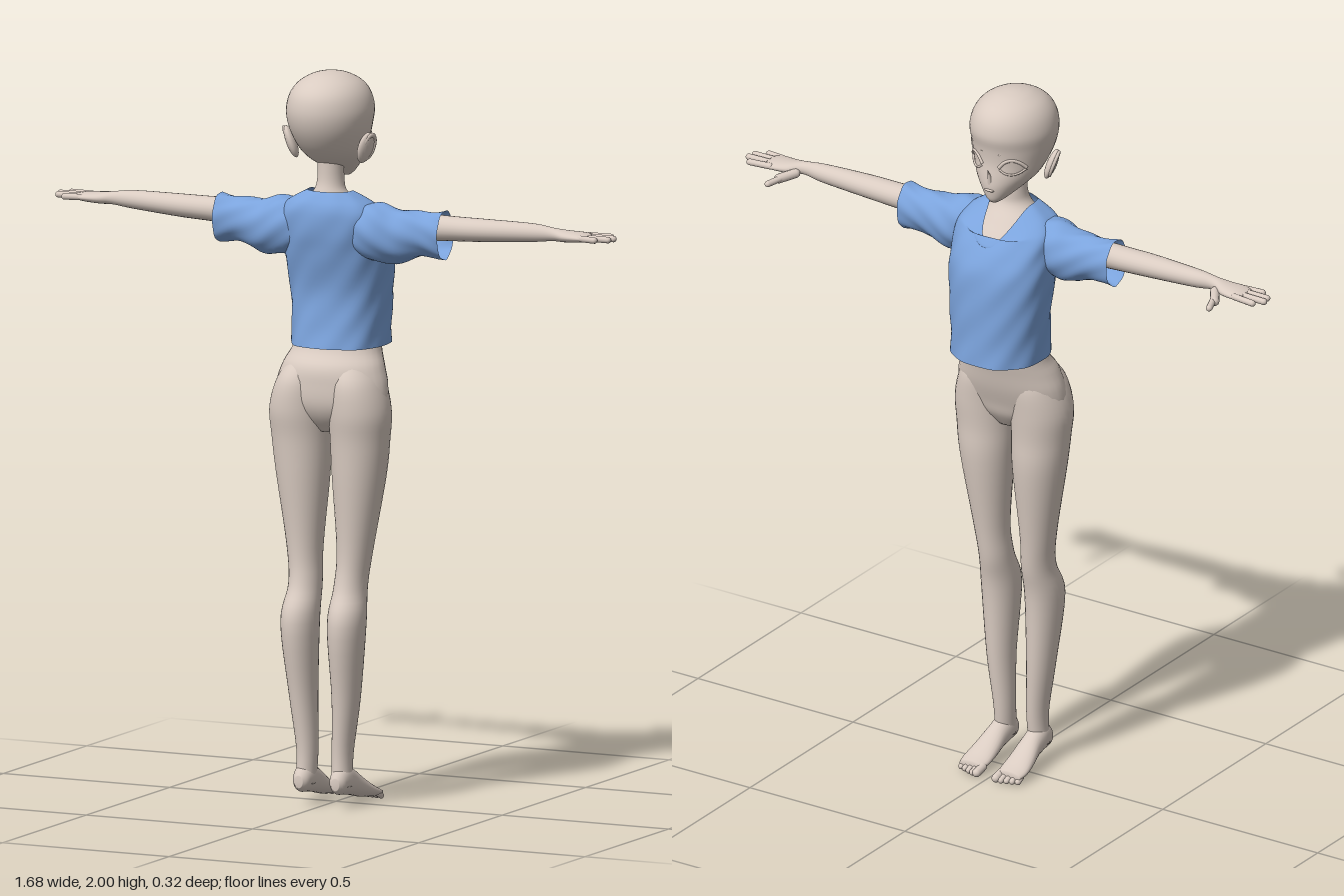
import * as THREE from 'three';

const skin = new THREE.MeshStandardMaterial({ color: 0xd9cbc1 });
skin.name = 'skin';
const cloth = new THREE.MeshStandardMaterial({ color: 0x7ba3dc, side: THREE.DoubleSide });
cloth.name = 'blue cloth';

// Catmull-Rom blend of the section rows
function sampleRows(rows, s) {
  const i = Math.min(Math.floor(s), rows.length - 2), f = s - i;
  const at = k => rows[Math.max(0, Math.min(rows.length - 1, k))];
  return rows[0].map((_, c) => {
    const p0 = at(i - 1)[c], p1 = at(i)[c], p2 = at(i + 1)[c], p3 = at(i + 2)[c];
    return p1 + 0.5 * f * (p2 - p0 + f * (2 * p0 - 5 * p1 + 4 * p2 - p3 + f * (3 * (p1 - p2) + p3 - p0)));
  });
}

// Smooth loft along an axis; rows are [position, centreA, centreB, radiusA, radiusB]
// with (A, B) = (x, z) along y, (z, y) along x, (y, x) along z
function loft(axis, rows, { sides = 32, steps = 5, caps = true, power = 1, bend = null } = {}) {
  const pos = [], idx = [], n = (rows.length - 1) * steps;
  const put = (t, a, b) => pos.push(...(axis === 'y' ? [a, t, b] : axis === 'x' ? [t, b, a] : [b, a, t]));
  const round = v => Math.sign(v) * Math.abs(v) ** power;
  for (let i = 0; i <= n; i++) {
    const [t, ca, cb, ra, rb] = sampleRows(rows, i / steps);
    for (let j = 0; j < sides; j++) {
      const q = (j / sides) * Math.PI * 2;
      let p = [t, ca + ra * round(Math.cos(q)), cb + rb * round(Math.sin(q))];
      if (bend) p = bend(p, q, ca, cb);
      put(...p);
      if (i < n) {
        const k = i * sides + j, m = i * sides + (j + 1) % sides;
        idx.push(k, k + sides, m, m, k + sides, m + sides);
      }
    }
  }
  if (caps) {
    const first = rows[0], last = rows[rows.length - 1], c = pos.length / 3;
    put(first[0], first[1], first[2]);
    put(last[0], last[1], last[2]);
    for (let j = 0; j < sides; j++) {
      const m = (j + 1) % sides;
      idx.push(c, j, m, c + 1, n * sides + m, n * sides + j);
    }
  }
  const g = new THREE.BufferGeometry();
  g.setAttribute('position', new THREE.Float32BufferAttribute(pos, 3));
  g.setIndex(idx);
  g.computeVertexNormals();
  return g;
}

// Rounded rod between two points
function rod(a, b, r) {
  const A = new THREE.Vector3(...a), B = new THREE.Vector3(...b), d = B.clone().sub(A);
  const g = new THREE.CapsuleGeometry(r, Math.max(0.001, d.length() - 2 * r), 6, 12);
  g.applyQuaternion(new THREE.Quaternion().setFromUnitVectors(new THREE.Vector3(0, 1, 0), d.normalize()));
  return g.translate(...A.add(B).multiplyScalar(0.5).toArray());
}

function mirrored(g) {
  const m = g.clone().scale(-1, 1, 1), ix = m.index.array;
  for (let i = 0; i < ix.length; i += 3) [ix[i + 1], ix[i + 2]] = [ix[i + 2], ix[i + 1]];
  return m;
}

export function createModel() {
  const model = new THREE.Group();
  model.name = 'mannequin';
  const add = (name, g, mat = skin) => {
    const mesh = new THREE.Mesh(g, mat);
    mesh.name = name;
    model.add(mesh);
  };
  // The figure faces -z, so its left side is -x
  const pair = (name, g, mat) => {
    add('right' + name, g, mat);
    add('left' + name, mirrored(g), mat);
  };

  // Plain doll torso and neck
  add('torso', loft('y', [
    [1.02, 0, 0.025, 0.05, 0.04], [1.06, 0, 0.027, 0.12, 0.07], [1.1, 0, 0.028, 0.16, 0.085],
    [1.15, 0, 0.02, 0.161, 0.095], [1.2, 0, 0.01, 0.145, 0.098], [1.26, 0, -0.015, 0.123, 0.086],
    [1.4, 0, -0.03, 0.115, 0.085], [1.5, 0, -0.025, 0.125, 0.096], [1.58, 0, 0.005, 0.125, 0.092],
    [1.63, 0, 0.025, 0.095, 0.07], [1.67, 0, 0.033, 0.048, 0.045], [1.71, 0, 0.03, 0.036, 0.038],
    [1.79, 0, 0.03, 0.036, 0.038]]));

  // Legs
  pair('Leg', loft('y', [
    [0.06, 0.055, 0.073, 0.027, 0.034], [0.15, 0.053, 0.065, 0.028, 0.036], [0.3, 0.064, 0.066, 0.037, 0.048],
    [0.5, 0.07, 0.075, 0.05, 0.065], [0.6, 0.068, 0.047, 0.044, 0.055], [0.7, 0.075, 0.035, 0.048, 0.056],
    [0.9, 0.084, 0.028, 0.073, 0.077], [1.0, 0.088, 0.03, 0.081, 0.082], [1.08, 0.089, 0.032, 0.084, 0.09],
    [1.16, 0.08, 0.027, 0.07, 0.088], [1.22, 0.065, 0.015, 0.045, 0.06]]));

  // Feet, heel raised slightly, with toes
  pair('Foot', loft('z', [
    [-0.09, 0.022, 0.061, 0.012, 0.036], [-0.06, 0.029, 0.061, 0.017, 0.041], [-0.02, 0.043, 0.059, 0.026, 0.038],
    [0.03, 0.066, 0.056, 0.037, 0.031], [0.07, 0.078, 0.055, 0.042, 0.029], [0.1, 0.073, 0.055, 0.033, 0.024],
    [0.116, 0.068, 0.055, 0.016, 0.012]], { sides: 24 }));
  for (let i = 0; i < 5; i++) {
    const x = 0.031 + i * 0.015, r = i ? 0.0085 : 0.012;
    pair('Toe' + (i + 1), rod([x, 0.024, -0.065], [x, r, -0.116 + i * 0.005], r));
  }

  // Arms and palms
  pair('Arm', loft('x', [
    [0.1, 0.02, 1.585, 0.04, 0.045], [0.3, 0.018, 1.592, 0.037, 0.036], [0.38, 0.018, 1.594, 0.037, 0.033],
    [0.46, 0.018, 1.596, 0.035, 0.031], [0.6, 0.013, 1.6, 0.026, 0.025], [0.66, 0.014, 1.6, 0.019, 0.018],
    [0.7, 0.008, 1.597, 0.033, 0.016], [0.745, 0.005, 1.597, 0.04, 0.013], [0.768, 0.005, 1.597, 0.034, 0.008]],
  { sides: 24 }));
  [[-0.026, 0.82, -0.034], [-0.006, 0.84, -0.007], [0.014, 0.835, 0.016], [0.033, 0.805, 0.04]].forEach(([z, x, zt], i) =>
    pair('Finger' + (i + 1), rod([0.74, 1.598, z], [x, 1.597, zt], 0.0088)));
  pair('Thumb', rod([0.67, 1.592, -0.002], [0.71, 1.582, -0.065], 0.013));
  pair('ThumbTip', rod([0.695, 1.586, -0.045], [0.715, 1.58, -0.102], 0.009));

  // Shirt body: open hem, scooped neckline and soft folds
  add('shirtBody', loft('y', [
    [1.25, 0, -0.03, 0.13, 0.13], [1.31, 0, -0.033, 0.131, 0.122], [1.4, 0, -0.035, 0.138, 0.117],
    [1.5, 0, -0.022, 0.148, 0.122], [1.56, 0, -0.005, 0.15, 0.116], [1.61, 0, 0.012, 0.148, 0.1],
    [1.64, 0, 0.022, 0.125, 0.084], [1.662, 0, 0.027, 0.09, 0.066], [1.676, 0, 0.03, 0.062, 0.052]], {
    sides: 72, caps: false, power: 0.85,
    bend: ([y, x, z], q, cx, cz) => {
      const fold = 1 + 0.02 * Math.sin(7 * q + 22 * y) * Math.sin(30 * y + 2 * q);
      const scoop = THREE.MathUtils.smoothstep(y, 1.6, 1.676) * Math.max(0, -Math.sin(q)) ** 2.5;
      return [y - 0.09 * scoop, x * fold, cz + (z - cz) * fold - 0.075 * scoop];
    },
  }), cloth);

  // Loose sleeves with an uneven hem
  pair('Sleeve', loft('x', [
    [0.08, 0.03, 1.575, 0.06, 0.07], [0.15, 0.028, 1.567, 0.07, 0.08], [0.21, 0.022, 1.563, 0.06, 0.072],
    [0.28, 0.018, 1.573, 0.05, 0.06], [0.338, 0.018, 1.573, 0.05, 0.067]], {
    sides: 48, caps: false,
    bend: ([x, z, y], q, cz, cy) => {
      const fold = 1 + 0.045 * Math.sin(60 * x + 3 * q) * Math.sin(4 * q + 1);
      return [x, cz + (z - cz) * fold, cy + (y - cy) * fold];
    },
  }), cloth);

  // Head
  add('head', loft('y', [
    [1.704, 0, -0.06, 0.012, 0.016], [1.718, 0, -0.05, 0.03, 0.036], [1.75, 0, -0.015, 0.062, 0.077],
    [1.78, 0, 0.007, 0.086, 0.098], [1.82, 0, 0.025, 0.102, 0.112], [1.86, 0, 0.033, 0.113, 0.123],
    [1.9, 0, 0.032, 0.117, 0.13], [1.94, 0, 0.032, 0.107, 0.121], [1.97, 0, 0.031, 0.085, 0.096],
    [1.99, 0, 0.031, 0.052, 0.058], [1.998, 0, 0.031, 0.023, 0.025], [2.0, 0, 0.031, 0.002, 0.002]], { sides: 40 }));
  add('nose', new THREE.ConeGeometry(0.011, 0.05, 16).rotateX(-0.35).translate(0, 1.785, -0.09));
  add('lips', new THREE.SphereGeometry(0.016, 16, 8).scale(1, 0.25, 0.4).translate(0, 1.745, -0.09));

  // Eyelid and brow ridges laid on the face
  const ridge = (y, arch, r) => new THREE.TubeGeometry(new THREE.CatmullRomCurve3(
    [0.026, 0.04, 0.057, 0.073, 0.086].map((x, i) => new THREE.Vector3(
      x, y + arch * Math.sin(i * Math.PI / 4), 0.026 - 0.113 * Math.sqrt(1 - (x / 0.104) ** 2)))), 20, r, 8);
  pair('UpperEyelid', ridge(1.815, 0.024, 0.005));
  pair('LowerEyelid', ridge(1.812, -0.016, 0.003));
  pair('Brow', ridge(1.852, 0.012, 0.003));

  // Ears, tilted outward
  pair('Ear', new THREE.SphereGeometry(0.04, 20, 14).scale(0.35, 1.15, 0.65)
    .rotateZ(-0.35).rotateY(-0.4).translate(0.112, 1.8, 0.045));
  pair('EarRim', new THREE.TorusGeometry(0.024, 0.005, 8, 24).scale(0.8, 1.45, 1).rotateY(Math.PI / 2)
    .rotateZ(-0.35).rotateY(-0.4).translate(0.121, 1.803, 0.043));

  return model;
}
